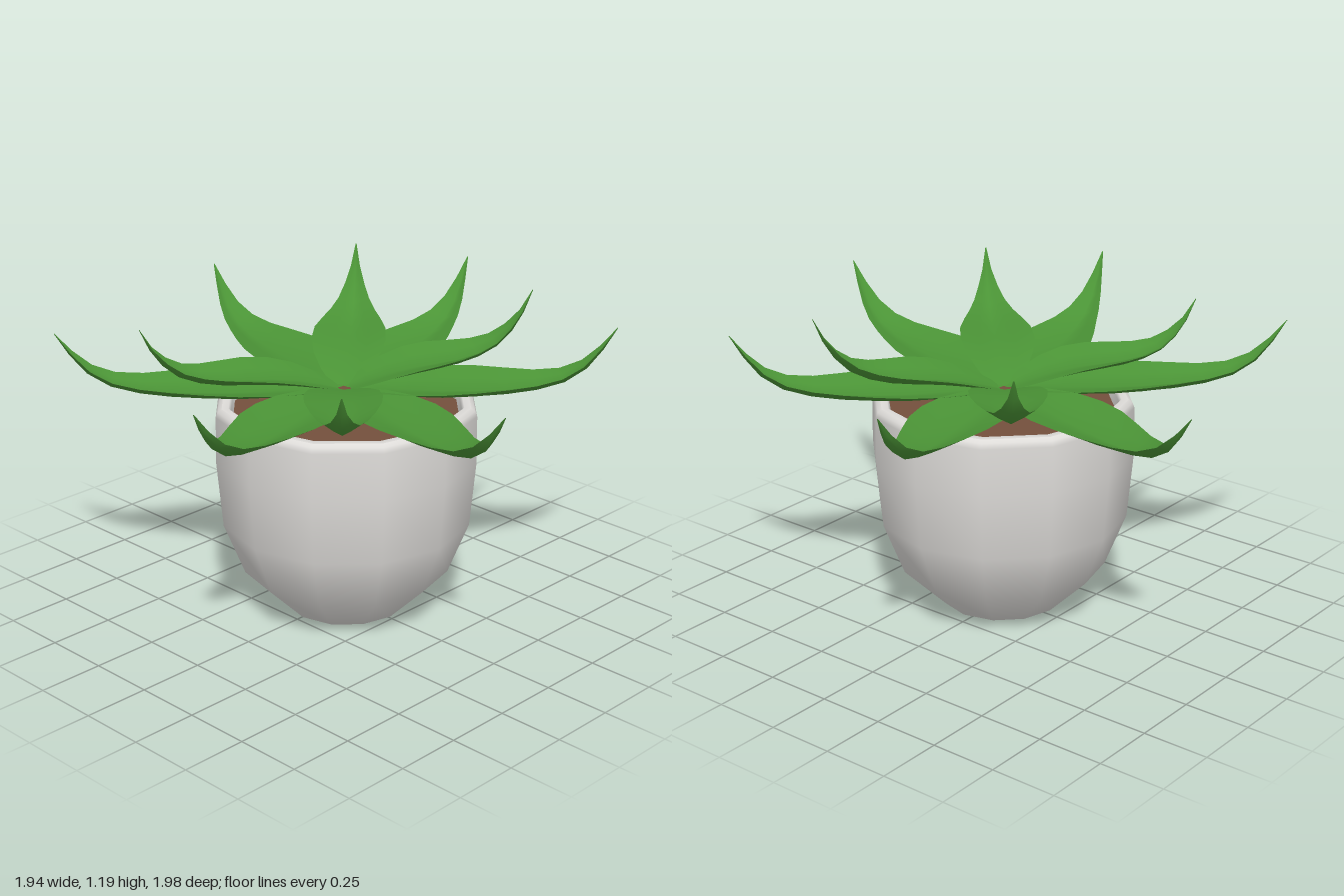
import * as THREE from 'three';

const glaze = new THREE.MeshStandardMaterial({ color: 0xdedcd9 });
glaze.name = 'paleGlaze';
const earth = new THREE.MeshStandardMaterial({ color: 0x74503c });
earth.name = 'brownSoil';
const green = new THREE.MeshStandardMaterial({ color: 0x4b9436 });
green.name = 'leafGreen';

const CENTRE = { x: -0.01, z: 0.02 };
const SIDES = 12;

// Leaf stations: [fraction of reach, height, half width]
const LOWER = [
  [0.03, 0.85, 0.05], [0.12, 0.855, 0.1], [0.24, 0.85, 0.145], [0.36, 0.845, 0.16],
  [0.48, 0.845, 0.15], [0.6, 0.85, 0.12], [0.71, 0.862, 0.088], [0.81, 0.888, 0.062],
  [0.89, 0.938, 0.04], [0.95, 1.01, 0.02], [1, 1.09, 0.002],
];
const UPPER = [
  [0.03, 0.86, 0.05], [0.12, 0.88, 0.09], [0.24, 0.9, 0.125], [0.36, 0.912, 0.14],
  [0.48, 0.917, 0.135], [0.6, 0.922, 0.112], [0.71, 0.935, 0.085], [0.81, 0.962, 0.06],
  [0.89, 1.01, 0.038], [0.95, 1.07, 0.018], [1, 1.15, 0.002],
];

// A thin solid leaf with a folded midrib, curling up to a point
function leafGeometry(stations, tip) {
  const base = new THREE.Vector3(0, 0, 0);
  const dir = new THREE.Vector3(tip[0], 0, tip[2]);
  const reach = dir.length();
  dir.normalize();
  const up = new THREE.Vector3(0, 1, 0);
  const side = new THREE.Vector3().crossVectors(up, dir);
  const shift = tip[1] - stations[stations.length - 1][1];
  const spine = stations.map(([t, y]) =>
    base.clone().addScaledVector(dir, t * reach).setY(y + shift * t * t));
  const across = [-1, -0.5, 0, 0.5, 1];
  const n = across.length;
  const pos = [];
  const index = [];

  for (const under of [false, true]) {
    const start = pos.length / 3;
    spine.forEach((p, i) => {
      const before = spine[Math.max(i - 1, 0)];
      const after = spine[Math.min(i + 1, spine.length - 1)];
      const tangent = after.clone().sub(before).normalize();
      const normal = new THREE.Vector3().crossVectors(tangent, side);
      const [t, , w] = stations[i];
      for (const u of across) {
        const fold = Math.abs(u) * w * (0.12 + 0.4 * t);
        const thick = under ? 0.14 * w * (1 - u * u) : 0;
        const v = p.clone().addScaledVector(side, u * w).addScaledVector(normal, fold - thick);
        pos.push(v.x, v.y, v.z);
      }
    });
    for (let i = 0; i < spine.length - 1; i++) {
      for (let j = 0; j < n - 1; j++) {
        const a = start + i * n + j, b = a + 1, c = a + n, d = c + 1;
        if (under) index.push(a, b, c, b, d, c);
        else index.push(a, c, b, b, c, d);
      }
    }
  }
  const g = new THREE.BufferGeometry();
  g.setAttribute('position', new THREE.Float32BufferAttribute(pos, 3));
  g.setIndex(index);
  g.computeVertexNormals();
  return g;
}

function lathe(points) {
  return new THREE.LatheGeometry(points.map(([r, y]) => new THREE.Vector2(r, y)), SIDES);
}

function add(parent, name, geometry, material) {
  const mesh = new THREE.Mesh(geometry, material);
  mesh.name = name;
  parent.add(mesh);
  return mesh;
}

export function createModel() {
  const model = new THREE.Group();
  model.name = 'pottedPlant';

  // Pot: rounded wall, rim and inner wall, flat base and soil
  const pot = new THREE.Group();
  pot.name = 'pot';
  pot.position.set(CENTRE.x, 0, CENTRE.z);
  model.add(pot);
  add(pot, 'potWall', lathe([
    [0.2, 0], [0.23, 0.012], [0.39, 0.17], [0.468, 0.37], [0.49, 0.62],
    [0.488, 0.8], [0.48, 0.82], [0.465, 0.83],
  ]), glaze);
  add(pot, 'potRim', lathe([
    [0.465, 0.83], [0.44, 0.83], [0.43, 0.82], [0.425, 0.77],
  ]), glaze);
  add(pot, 'potBase', lathe([[0, 0], [0.2, 0]]), glaze);
  add(pot, 'soil', lathe([[0.43, 0.775], [0, 0.775]]), earth);

  // Outer ring of long leaves, given by their tips
  const outerTips = [
    [0.265, 1.055, -0.99], [0.965, 1.09, -0.25], [0.69, 1.09, 0.71],
    [-0.27, 1.09, 0.99], [-0.97, 1.1, 0.27], [-0.75, 1.075, -0.73],
  ];
  // Inner ring of shorter, steeper leaves
  const innerTips = [
    [0.59, 1.17, -0.51], [0.58, 1.19, 0.4], [-0.61, 1.14, 0.585], [-0.61, 1.13, -0.42],
  ];
  const foliage = new THREE.Group();
  foliage.name = 'foliage';
  model.add(foliage);
  outerTips.forEach((t, i) => add(foliage, `outerLeaf${i + 1}`, leafGeometry(LOWER, t), green));
  innerTips.forEach((t, i) => add(foliage, `innerLeaf${i + 1}`, leafGeometry(UPPER, t), green));

  return model;
}
